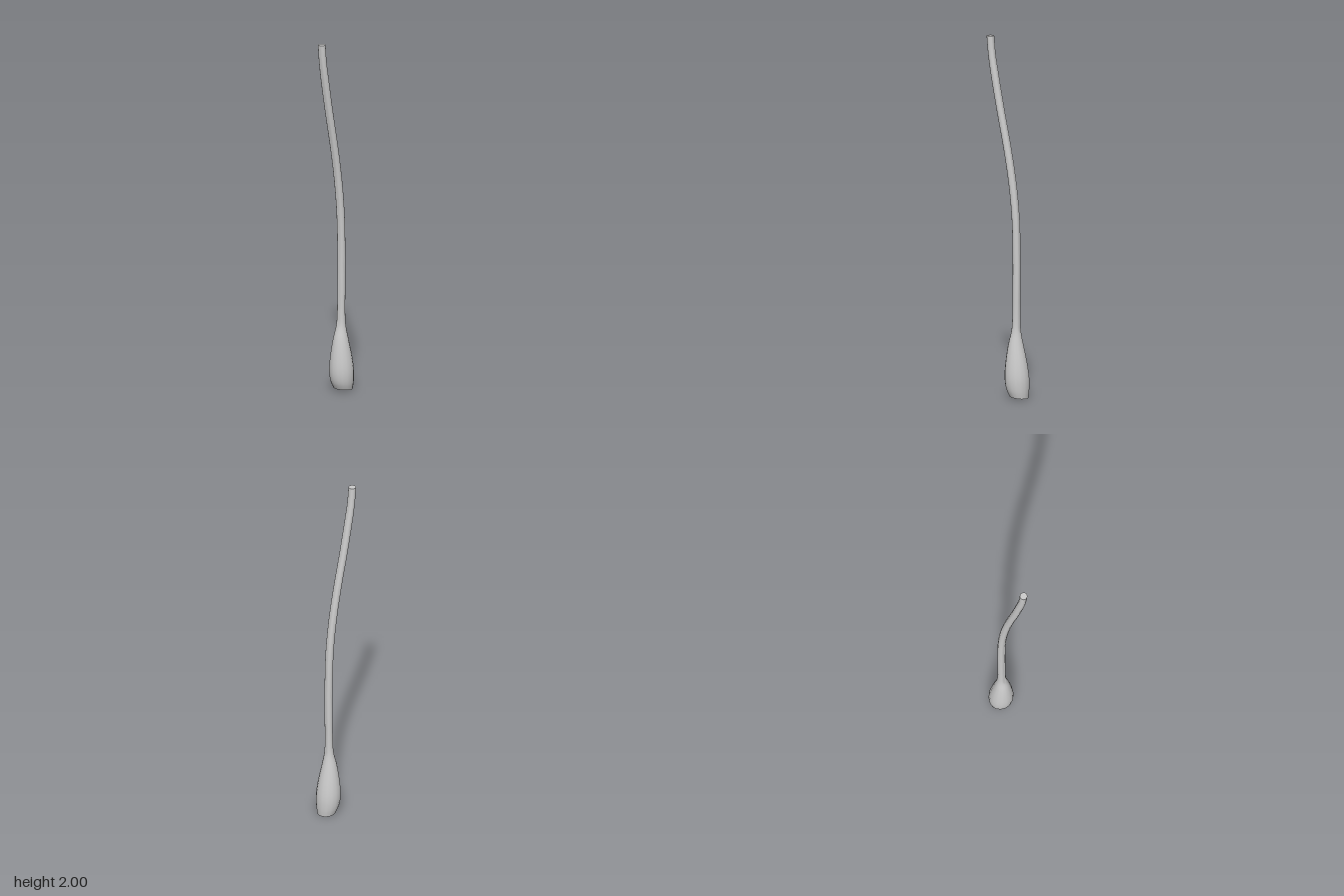
import * as THREE from 'three';
import { toCreasedNormals } from 'three/addons/utils/BufferGeometryUtils.js';

export function createModel() {
  const group = new THREE.Group();
  group.name = 'bentRod';

  // Cross-sections from bottom to top: radius, height, z of the centre line
  const sections = [
    [0.052, 0.006, -0.072], [0.063, 0.045, -0.065], [0.068, 0.11, -0.06],
    [0.059, 0.2, -0.056], [0.041, 0.3, -0.053], [0.028, 0.36, -0.055],
    [0.023, 0.41, -0.056], [0.022, 0.6, -0.058], [0.022, 0.8, -0.058],
    [0.022, 1.0, -0.052], [0.022, 1.2, -0.031], [0.022, 1.4, 0.003],
    [0.022, 1.6, 0.044], [0.022, 1.8, 0.081], [0.021, 1.9, 0.097],
    [0.021, 2.0, 0.106],
  ].map((s) => new THREE.Vector3(...s));
  const rings = new THREE.CatmullRomCurve3(sections).getPoints(45);

  // Close both ends with flat caps
  const first = rings[0].clone().setX(0);
  const last = rings[rings.length - 1].clone().setX(0);
  const profile = [first, ...rings, last];

  // Turn the profile, then shift each ring onto the curved centre line
  const geometry = new THREE.LatheGeometry(profile.map((p) => new THREE.Vector2(p.x, p.y)), 16);
  const pos = geometry.attributes.position;
  for (let i = 0; i < pos.count; i++) {
    const y = pos.getY(i);
    const tilt = 0.12 * Math.max(0, 1 - y / 0.1); // slanted foot
    pos.setY(i, y + pos.getZ(i) * tilt);
    pos.setZ(i, pos.getZ(i) + profile[i % profile.length].z);
  }

  const rod = new THREE.Mesh(
    toCreasedNormals(geometry, THREE.MathUtils.degToRad(45)),
    new THREE.MeshStandardMaterial({ color: 0xcccccc }),
  );
  rod.name = 'stemWithBulbFoot';
  group.add(rod);
  return group;
}
